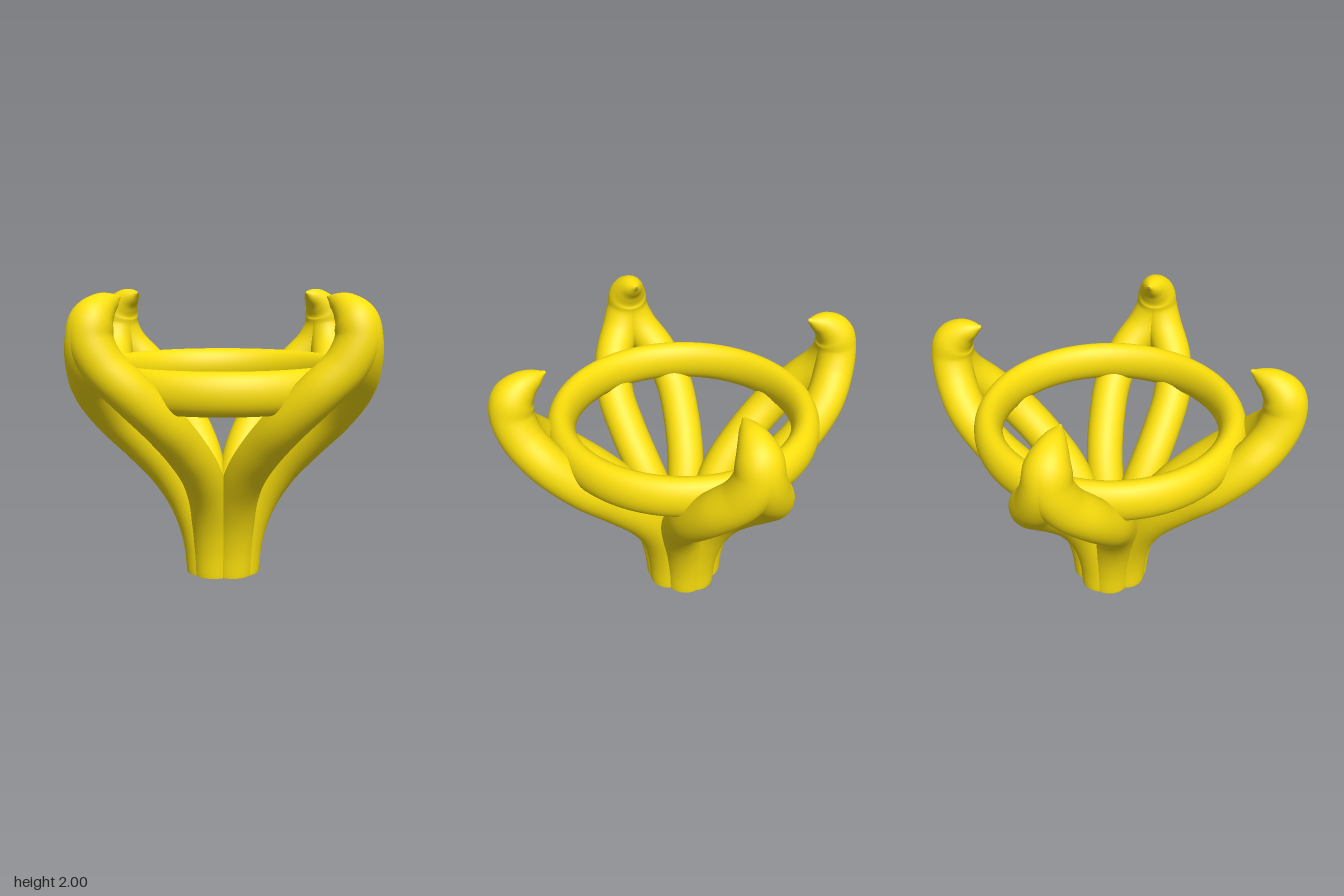
import * as THREE from 'three';
import { mergeVertices } from 'three/addons/utils/BufferGeometryUtils.js';

const material = new THREE.MeshStandardMaterial({ color: 0xfce00c });

// Strand stations: distance out along the diagonal, height, sideways offset, radius
const stations = [
  [0.133, 0, 0.036, 0.14],
  [0.15, 0.2, 0.046, 0.14],
  [0.192, 0.4, 0.075, 0.138],
  [0.268, 0.6, 0.122, 0.137],
  [0.395, 0.8, 0.175, 0.137],
  [0.58, 1.0, 0.218, 0.137],
  [0.79, 1.2, 0.236, 0.137],
  [0.985, 1.4, 0.178, 0.137],
  [1.107, 1.57, 0.073, 0.137],
  [1.145, 1.72, 0.014, 0.138],
  [1.122, 1.83, 0.005, 0.133],
  [1.05, 1.906, 0.003, 0.097],
  [0.968, 1.947, 0.002, 0.053],
  [0.905, 1.972, 0.001, 0.008],
];

// Tube along a path whose radius follows the stations
function taperedTube(points, radii, segments, sides) {
  const path = new THREE.CatmullRomCurve3(points);
  const radius = new THREE.SplineCurve(radii.map((r, i) => new THREE.Vector2(i, r)));
  const geometry = new THREE.TubeGeometry(path, segments, 1, sides);
  const position = geometry.attributes.position;
  const p = new THREE.Vector3();
  for (let i = 0; i <= segments; i++) {
    const centre = path.getPointAt(i / segments);
    const r = radius.getPoint(path.getUtoTmapping(i / segments)).y;
    for (let j = 0; j <= sides; j++) {
      const k = i * (sides + 1) + j;
      p.fromBufferAttribute(position, k).sub(centre).multiplyScalar(r).add(centre);
      if (i === 0) p.y = 0; // flat foot
      position.setXYZ(k, p.x, p.y, p.z);
    }
  }
  geometry.deleteAttribute('uv');
  geometry.deleteAttribute('normal');
  const smooth = mergeVertices(geometry, 1e-5);
  smooth.computeVertexNormals();
  return smooth;
}

// One claw: two mirrored strands that part, rejoin and curl to a point
function createClaw() {
  const claw = new THREE.Group();
  for (const side of [-1, 1]) {
    const points = stations.map(([u, y, v]) => new THREE.Vector3(u, y, v * side));
    const strand = new THREE.Mesh(taperedTube(points, stations.map((s) => s[3]), 110, 32), material);
    strand.name = side > 0 ? 'rightStrand' : 'leftStrand';

    const foot = new THREE.Mesh(new THREE.CircleGeometry(stations[0][3], 32), material);
    foot.name = 'strandFoot';
    foot.rotation.x = Math.PI / 2;
    foot.position.copy(points[0]);
    claw.add(strand, foot);
  }
  return claw;
}

export function createModel() {
  const model = new THREE.Group();
  model.name = 'clawSetting';

  // Four claws on the diagonals
  for (let i = 0; i < 4; i++) {
    const claw = createClaw();
    claw.name = `claw${i + 1}`;
    claw.rotation.y = Math.PI / 4 + (i * Math.PI) / 2;
    model.add(claw);
  }

  // Support ring with a tall oval section
  const ringGeometry = new THREE.TorusGeometry(0.829, 0.095, 32, 128);
  ringGeometry.scale(1, 1, 0.14 / 0.095);
  ringGeometry.rotateX(Math.PI / 2);
  const ring = new THREE.Mesh(ringGeometry, material);
  ring.name = 'supportRing';
  ring.position.y = 1.39;
  model.add(ring);

  return model;
}
